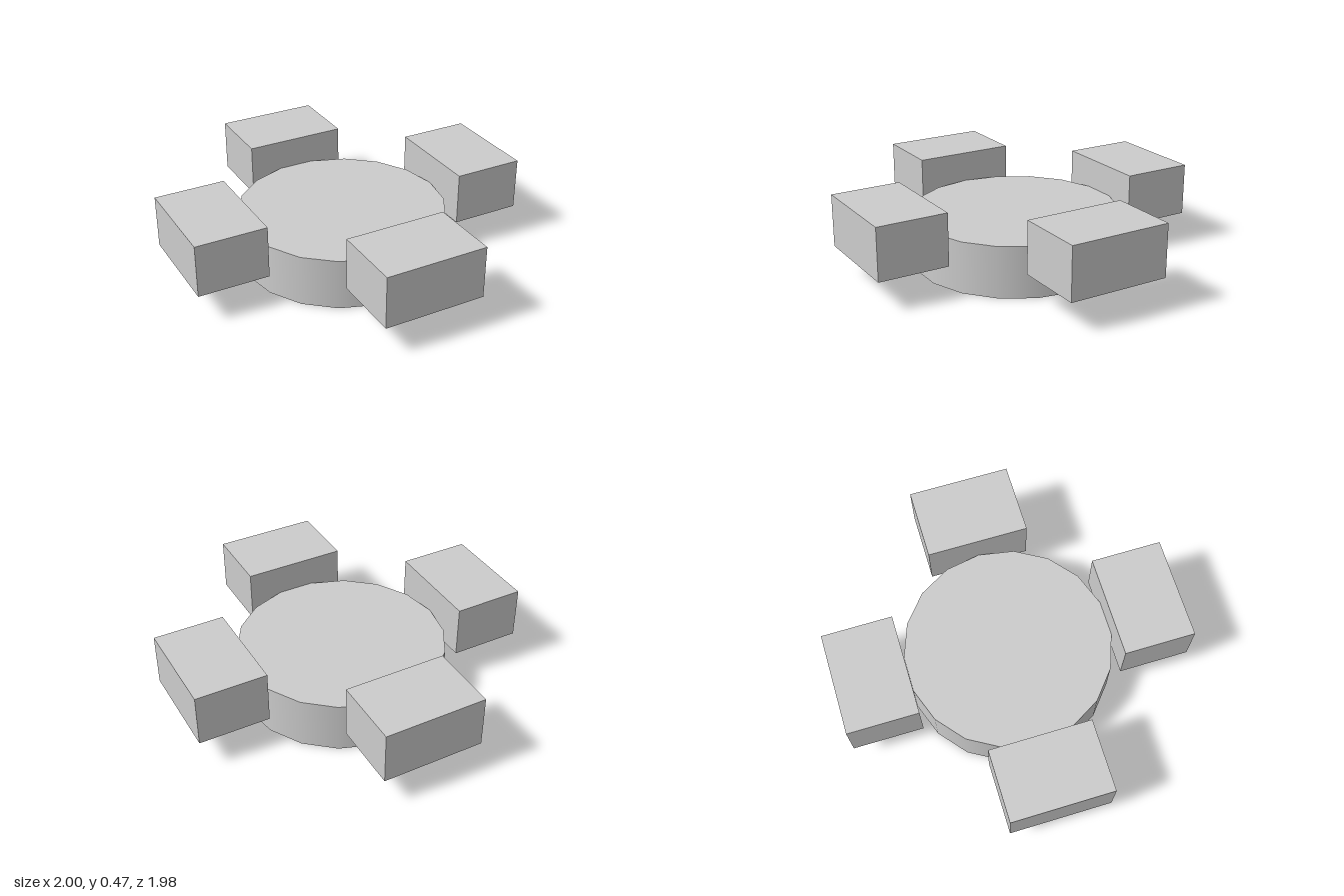
import * as THREE from 'three';

export function createModel() {
  const model = new THREE.Group();
  const grey = new THREE.MeshStandardMaterial({ color: 0xcccccc });
  grey.name = 'light grey';

  // Central eighteen-sided drum, smooth around the wall, corners on the x axis
  const hub = new THREE.Mesh(
    new THREE.CylinderGeometry(0.593, 0.593, 0.295, 18, 1, false, Math.PI / 2),
    grey
  );
  hub.name = 'hub';
  hub.position.y = 0.1475;
  model.add(hub);

  // Four raised blocks around the drum; those on the z axis sit slightly closer
  const blockGeometry = new THREE.BoxGeometry(0.583, 0.3, 0.405);
  const blocks = [
    ['frontBlock', 0, 0.788],
    ['leftBlock', 1, 0.7975],
    ['backBlock', 2, 0.788],
    ['rightBlock', 3, 0.7975],
  ];
  for (const [name, quarter, distance] of blocks) {
    const angle = (quarter * Math.PI) / 2;
    const block = new THREE.Mesh(blockGeometry, grey);
    block.name = name;
    block.position.set(Math.sin(angle) * distance, 0.32, Math.cos(angle) * distance);
    block.rotation.y = angle;
    model.add(block);
  }

  return model;
}
